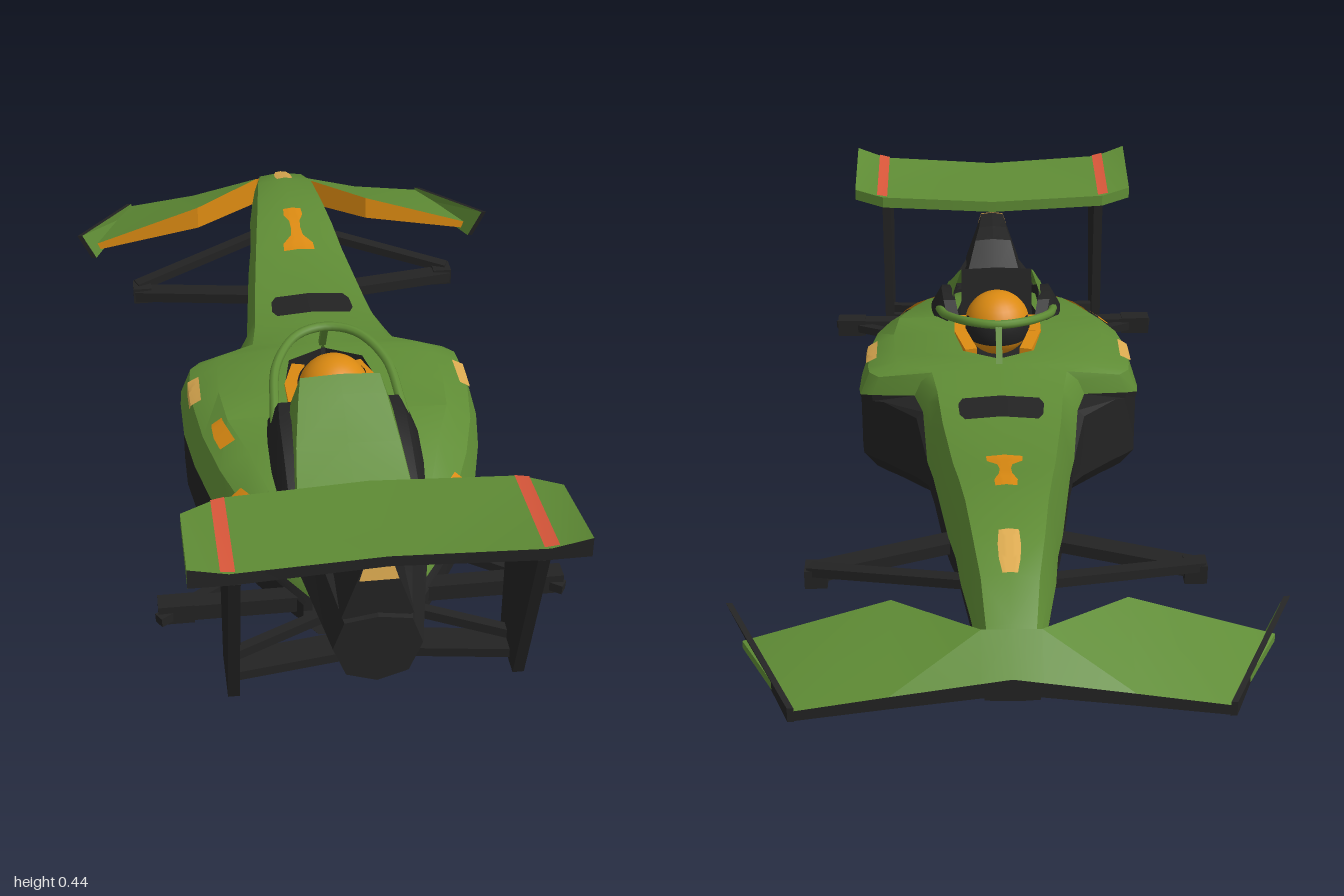
import * as THREE from 'three';
import { toCreasedNormals } from 'three/addons/utils/BufferGeometryUtils.js';

const paint = (name, color) => new THREE.MeshStandardMaterial({ name, color, side: THREE.DoubleSide });
const GREEN = paint('green paint', 0x5f8c35);
const BLACK = paint('black carbon', 0x232323);
const ORANGE = paint('orange paint', 0xdb8a12);
const TAN = paint('tan paint', 0xdcaa50);
const RED = paint('red paint', 0xd9573a);

// Body stations: z, inner x/y, shoulder x/y, flank x/y, colour line x/y, floor x/y
const nose = [
  [-.988, 0, .143, .035, .138, .045, .13, .05, .118, .020, .100],
  [-.90, 0, .205, .046, .198, .054, .18, .06, .150, .030, .092],
  [-.82, 0, .260, .054, .252, .068, .21, .075, .172, .040, .095],
  [-.72, 0, .292, .068, .282, .082, .23, .09, .172, .055, .100],
  [-.60, 0, .296, .080, .286, .095, .22, .10, .158, .065, .070],
  [-.50, 0, .288, .092, .277, .107, .21, .115, .145, .080, .045],
  [-.40, 0, .268, .104, .258, .119, .20, .126, .135, .092, .020],
  [-.20, 0, .256, .126, .246, .141, .19, .148, .112, .116, .012],
  [-.11, 0, .260, .134, .250, .152, .19, .162, .102, .130, .008],
];
const pods = [
  [-.07, 0, .264, .138, .256, .158, .23, .17, .205, .155, .005],
  [.01, 0, .270, .150, .262, .175, .24, .19, .205, .230, .002],
  [.035, 0, .272, .200, .262, .270, .24, .287, .195, .255, 0],
  [.06, .005, .272, .225, .266, .292, .24, .314, .185, .280, 0],
  [.10, .080, .272, .235, .268, .297, .235, .318, .178, .284, 0],
  [.20, .100, .272, .240, .268, .295, .235, .317, .166, .284, 0],
  [.30, .100, .268, .230, .264, .282, .225, .302, .154, .270, 0],
  [.40, .085, .255, .195, .250, .255, .21, .276, .140, .245, 0],
  [.50, .080, .230, .165, .225, .215, .19, .234, .125, .205, .005],
  [.60, .060, .203, .080, .200, .150, .155, .172, .113, .150, .010],
  [.70, .050, .160, .080, .150, .095, .13, .105, .108, .090, .015],
];
const body = [...nose, ...pods];
const upper = s => [1, 3, 5, 7].map(k => [s[k], s[k + 1], s[0]]);
const lower = s => [[s[7], s[8], s[0]], [s[9] + .03, s[8] - .015, s[0]],
  [s[9] + .03, Math.min(s[10] + .035, s[8] - .016), s[0]], [s[9], s[10], s[0]], [0, s[10], s[0]]];

// Skin over rows of points; the half at +x is mirrored to -x
function skin(parent, name, rows, mat, sides = [1, -1], crease = .6) {
  const pos = [];
  for (const m of sides) for (let i = 0; i + 1 < rows.length; i++)
    for (let j = 0; j + 1 < rows[i].length; j++) {
      const a = rows[i][j], b = rows[i][j + 1], c = rows[i + 1][j + 1], d = rows[i + 1][j];
      const corners = m > 0 ? [a, d, c, a, c, b] : [a, c, d, a, b, c];
      for (const p of corners) pos.push(p[0] * m, p[1], p[2]);
    }
  const geo = new THREE.BufferGeometry();
  geo.setAttribute('position', new THREE.Float32BufferAttribute(pos, 3));
  const mesh = new THREE.Mesh(toCreasedNormals(geo, crease), mat);
  mesh.name = name;
  parent.add(mesh);
}

// Closed four-sided beam through columns of four corners, one colour per face
function slab(parent, name, cols, mats) {
  const g = new THREE.Group();
  g.name = name;
  const back = [...cols].reverse();
  for (let k = 0; k < 4; k++)
    skin(g, name + 'Face', back.map(c => [c[k], c[(k + 1) % 4]]), mats[k], [1, -1], .3);
  const e = back[0], s = cols[0];
  skin(g, name + 'End', [[e[3], e[2]], [e[0], e[1]]], mats[0]);
  skin(g, name + 'End', [[s[0], s[1]], [s[3], s[2]]], mats[0]);
  parent.add(g);
}

// Flat cover over the end of a skin
function cap(parent, name, pts, mat, front) {
  const rows = [pts, pts.map(p => [0, p[1], p[2]])];
  skin(parent, name, front ? rows.reverse() : rows, mat);
}

// Mirrored rods
function rods(parent, name, a, b, w, h, mat = BLACK) {
  for (const m of [1, -1]) {
    const p = new THREE.Vector3(a[0] * m, a[1], a[2]), q = new THREE.Vector3(b[0] * m, b[1], b[2]);
    const rod = new THREE.Mesh(new THREE.BoxGeometry(w, h, p.distanceTo(q)), mat);
    rod.name = name;
    rod.position.copy(p).lerp(q, .5);
    rod.lookAt(q);
    parent.add(rod);
  }
}

// Point on the painted upper body at z and at profile position t (0 to 3)
function onBody(z, t) {
  let i = 0;
  while (i < body.length - 2 && body[i + 1][0] < z) i++;
  const f = (z - body[i][0]) / (body[i + 1][0] - body[i][0]);
  const k = Math.min(2, Math.floor(t));
  const A = upper(body[i]), B = upper(body[i + 1]);
  return [0, 1].map(n => THREE.MathUtils.lerp(
    THREE.MathUtils.lerp(A[k][n], A[k + 1][n], t - k),
    THREE.MathUtils.lerp(B[k][n], B[k + 1][n], t - k), f));
}
// Thin painted patch; its outer edge runs through the given t values from z0 to z1
function marking(parent, name, z0, z1, t0, edge, mat, sides) {
  const rows = [];
  for (let i = 0; i <= 12; i++) {
    const z = z0 + (z1 - z0) * i / 12, row = [];
    const e = i / 12 * (edge.length - 1), k = Math.min(edge.length - 2, Math.floor(e));
    const t1 = THREE.MathUtils.lerp(edge[k], edge[k + 1], e - k);
    for (let j = 0; j <= 4; j++) {
      const t = t0 + (t1 - t0) * j / 4, [x, y] = onBody(z, t);
      row.push([x + (t > 1 ? .005 : 0), y + .004, z]);
    }
    rows.push(row);
  }
  skin(parent, name, rows, mat, sides);
}

export function createModel() {
  const car = new THREE.Group();
  car.name = 'racingCar';

  // Hull: painted upper shell, dark floor, cockpit tub
  skin(car, 'upperBody', body.map(upper), GREEN);
  skin(car, 'lowerBody', body.map(lower), BLACK, [1, -1], .4);
  skin(car, 'cockpitTub', pods.slice(3).map(s => [[0, Math.min(.2, s[2] - .03), s[0]],
    [s[1], Math.min(.2, s[2] - .03), s[0]], [s[1], s[2], s[0]]]), BLACK);
  cap(car, 'noseTip', upper(body[0]), GREEN, true);
  cap(car, 'noseTipLower', lower(body[0]), BLACK, true);

  // Engine cover: sloping panel between dark shoulders
  const cover = [[.33, .375, .082], [.37, .352, .09], [.46, .295, .105], [.56, .245, .115], [.65, .2, .095]];
  skin(car, 'engineCover', cover.map(([z, y, w]) =>
    [[0, y + .004, z], [w, y, z], [w + .02, y - .06, z], [w + .02, .1, z]]), GREEN);
  skin(car, 'airIntake', [[[0, .379, .33], [.082, .375, .33]], [[0, .19, .3], [.085, .19, .3]]], BLACK);
  const shoulders = [[.27, .27, .115], [.31, .305, .125], [.38, .305, .13], [.46, .28, .13], [.56, .235, .13], [.66, .185, .09]];
  skin(car, 'engineShoulder', shoulders.map(([z, y, w]) =>
    [[w - .028, .15, z], [w - .028, y, z], [w, y, z], [w + .025, y - .045, z], [w + .02, .12, z]]), BLACK);

  // Gearbox and raised tail with lamp
  const box = [[.58, .215, .125], [.68, .215, .125], [.87, .185, .085]].map(([z, y, w]) =>
    [[0, y + .01, z], [w * .75, y, z], [w, y - .06, z], [w * .7, .06, z], [0, .04, z]]);
  skin(car, 'gearbox', box, BLACK, [1, -1], .2);
  cap(car, 'gearboxEnd', box[2], BLACK);
  const tail = [[.64, .22, .07, .15], [.71, .298, .045, .18], [.76, .314, .035, .18], [.86, .312, .028, .19]]
    .map(([z, y, w, b]) =>
      [[0, y, z], [w, y - .004, z], [w + .01, y - .034, z], [w + .04, b, z], [0, b - .03, z]]);
  skin(car, 'tail', tail, BLACK, [1, -1], .2);
  cap(car, 'tailEnd', tail[3], BLACK);
  skin(car, 'tailLamp', [[[.028, .309, .864], [.037, .28, .868]], [[0, .312, .864], [0, .28, .868]]], TAN);

  // Driver's helmet, visor and headrest
  const helmet = new THREE.Mesh(new THREE.SphereGeometry(.075, 28, 18), ORANGE);
  helmet.name = 'helmet';
  helmet.position.set(0, .282, .235);
  const visor = new THREE.Mesh(new THREE.SphereGeometry(.078, 20, 8, Math.PI * .1, Math.PI * .8, 1.2, .75), BLACK);
  visor.name = 'visor';
  visor.position.copy(helmet.position);
  visor.rotation.y = Math.PI;
  car.add(helmet, visor);
  rods(car, 'headrestSide', [.062, .255, .115], [.086, .262, .2], .028, .03, ORANGE);
  rods(car, 'headrestRear', [.086, .262, .195], [.086, .265, .28], .028, .03, ORANGE);

  // Cockpit hoop and its front strut
  const half = [[.14, .24, .41], [.132, .285, .3], [.116, .32, .19], [.065, .34, .11]];
  const path = [...half, [0, .343, .085], ...half.map(p => [-p[0], p[1], p[2]]).reverse()];
  const hoop = new THREE.Mesh(new THREE.TubeGeometry(
    new THREE.CatmullRomCurve3(path.map(p => new THREE.Vector3(...p))), 48, .01, 8), GREEN);
  hoop.name = 'cockpitHoop';
  car.add(hoop);
  rods(car, 'hoopStrut', [0, .342, .085], [0, .265, .035], .014, .014, GREEN);

  // Front wing with a deep orange rear face, and its end plates
  const wing = [[[0, .146, -.988], [0, .2, -.91], .07], [[.055, .139, -.99], [.055, .2, -.91], .07],
    [[.22, .117, -.995], [.22, .187, -.79], .058], [[.39, .093, -1], [.5, .097, -.785], .016]];
  slab(car, 'frontWing', wing.map(([l, t, d], i) => [l, t, [t[0], t[1] - d, t[2]],
    [l[0], l[1] - .036 + i * .005, l[2]]]), [GREEN, ORANGE, BLACK, BLACK]);
  slab(car, 'frontEndPlate', [
    [[.40, .1, -1], [.388, .1, -1], [.388, .07, -1], [.40, .07, -1]],
    [[.532, .152, -.74], [.52, .152, -.74], [.488, .08, -.75], [.5, .08, -.75]],
  ], [BLACK, GREEN, BLACK, BLACK]);

  // Rear wing on two tapered plates
  const span = [[0, .395, .72, .412, .965, .022], [.28, .4, .745, .421, .99, .025], [.352, .405, .79, .445, 1, .04]];
  slab(car, 'rearWing', span.map(([x, y, z, ty, tz, d]) =>
    [[x, y, z], [x, ty, tz], [x, ty - d, tz], [x, y - .027, z]]), [GREEN, BLACK, GREEN, GREEN]);
  skin(car, 'rearWingStripe', [[[.295, .404, .755], [.295, .429, .991]], [[.269, .4025, .746], [.269, .4235, .988]]], RED);
  const post = (y, z0, z1) => [[.26, y, z0], [.26, y, z1], [.282, y, z1], [.282, y, z0]];
  slab(car, 'rearWingPlate', [post(.03, .755, .87), post(.392, .755, .985)], [BLACK, BLACK, BLACK, BLACK]);
  rods(car, 'rearLowerBeam', [0, .04, .76], [.27, .05, .81], .06, .02);
  rods(car, 'rearUpperBeam', [.04, .1, .72], [.27, .07, .8], .02, .02);

  // Suspension arms and hub mounts
  rods(car, 'frontArm', [.08, .155, -.68], [.39, .105, -.55], .028, .02);
  rods(car, 'frontLowerArm', [.1, .11, -.46], [.39, .09, -.54], .045, .025);
  rods(car, 'frontHubMount', [.355, .09, -.545], [.4, .09, -.545], .045, .04);
  rods(car, 'rearArm', [.1, .08, .665], [.4, .08, .665], .035, .035);
  rods(car, 'rearLink', [.17, .09, .545], [.4, .075, .69], .022, .02);
  rods(car, 'rearHubMount', [.33, .08, .665], [.4, .08, .665], .04, .042);

  // Painted markings
  marking(car, 'noseHatch', -.2, -.11, 0, [.62, .7, .7, .7, .62], BLACK);
  marking(car, 'noseBadge', -.82, -.72, 0, [.26, .34, .34, .28], TAN);
  marking(car, 'noseMark', -.555, -.39, 0, [.25, .26, .14, .12, .15, .35, .35], ORANGE);
  marking(car, 'podSideBadge', .11, .2, 1.6, [2, 2.15, 2.15], TAN);
  marking(car, 'podShoulderMark', .29, .36, 1.1, [1.5, 1.65, 1.65], ORANGE, [-1]);
  const band = [[.46, .218, .238], [.5, .193, .219], [.555, .128, .157], [.585, .098, .12]];
  skin(car, 'podRearBand', band.map(([z, a, b]) => [[a, .212, z + .006], [b, .192, z + .006]]), ORANGE);
  return car;
}
